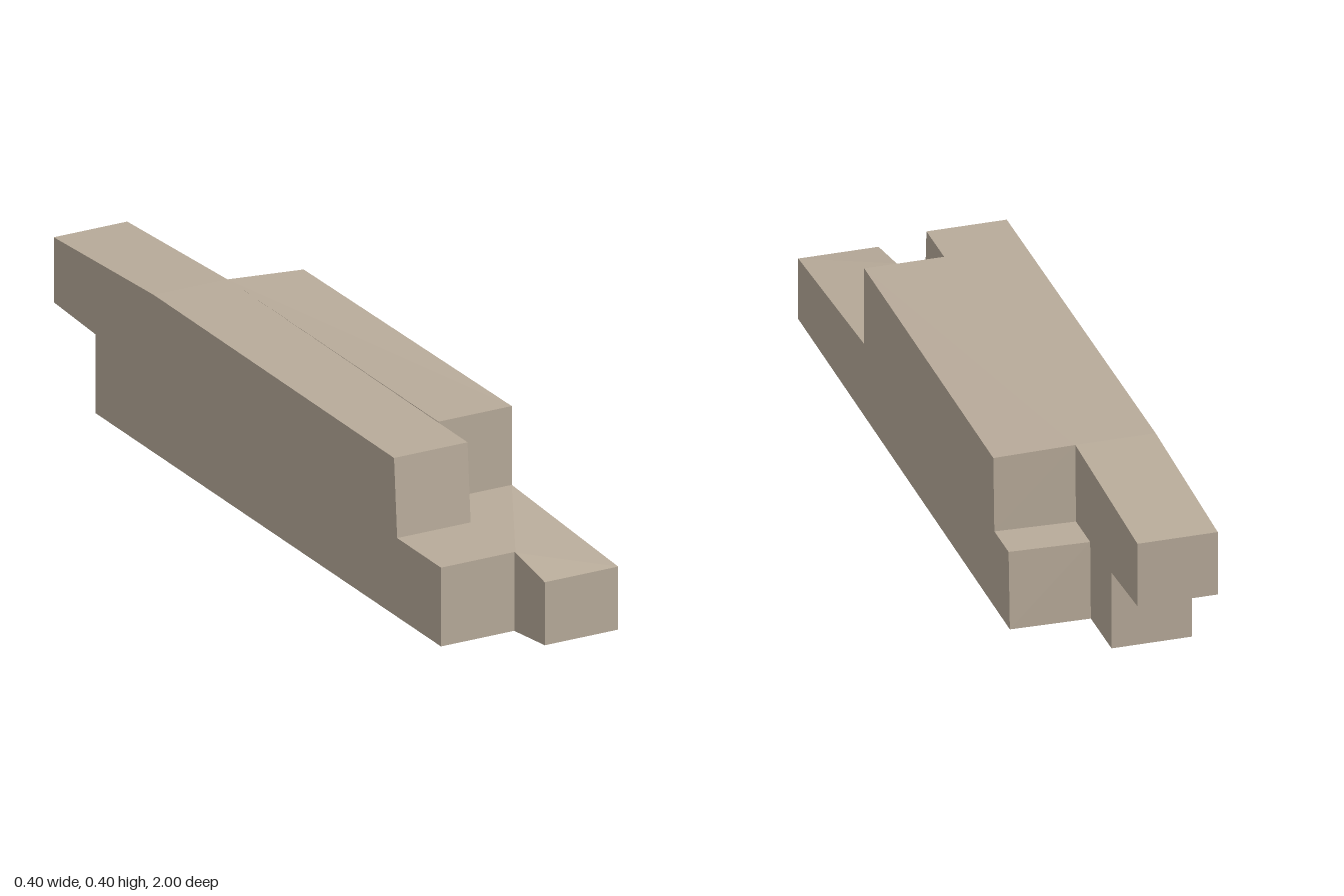
import * as THREE from 'three';
import { ConvexGeometry } from 'three/addons/geometries/ConvexGeometry.js';

const HALF = 0.198;

export function createModel() {
  const model = new THREE.Group();
  model.name = 'beamBundle';

  const wood = new THREE.MeshStandardMaterial({ color: 0xb8ab9a });
  wood.name = 'pale wood';

  // One beam: side profiles as [z, y] on the centre plane and on the outer side
  function addBeam(name, side, inner, outer = inner) {
    const points = [
      ...inner.map(([z, y]) => new THREE.Vector3(0, y, z)),
      ...outer.map(([z, y]) => new THREE.Vector3(side * HALF, y, z)),
    ];
    const beam = new THREE.Mesh(new ConvexGeometry(points), wood);
    beam.name = name;
    model.add(beam);
  }

  // Upper right beam, tapering at its long back end
  addBeam('upperRightBeam', -1, [
    [0.645, 0.2], [0.63, 0.398], [-0.52, 0.4], [-1, 0.375], [-1, 0.21], [-0.8, 0.2],
  ]);

  // Lower right beam, a plain block
  addBeam('lowerRightBeam', -1, [[0.855, 0], [0.855, 0.2], [-0.8, 0.2], [-0.8, 0]]);

  // Upper left beam, short, with a skewed back end
  addBeam('upperLeftBeam', 1,
    [[0.49, 0.2], [0.49, 0.4], [-0.52, 0.4], [-0.525, 0.2]],
    [[0.49, 0.2], [0.49, 0.4], [-0.507, 0.39], [-0.515, 0.2]]);

  // Lower left beam, with a bevelled front tip
  addBeam('lowerLeftBeam', 1,
    [[-0.64, 0], [-0.635, 0.2], [0.86, 0.2], [1, 0.175], [1, 0.015], [0.86, 0]],
    [[-0.635, 0], [-0.625, 0.2], [0.49, 0.2], [1, 0.175], [1, 0.015]]);

  return model;
}
